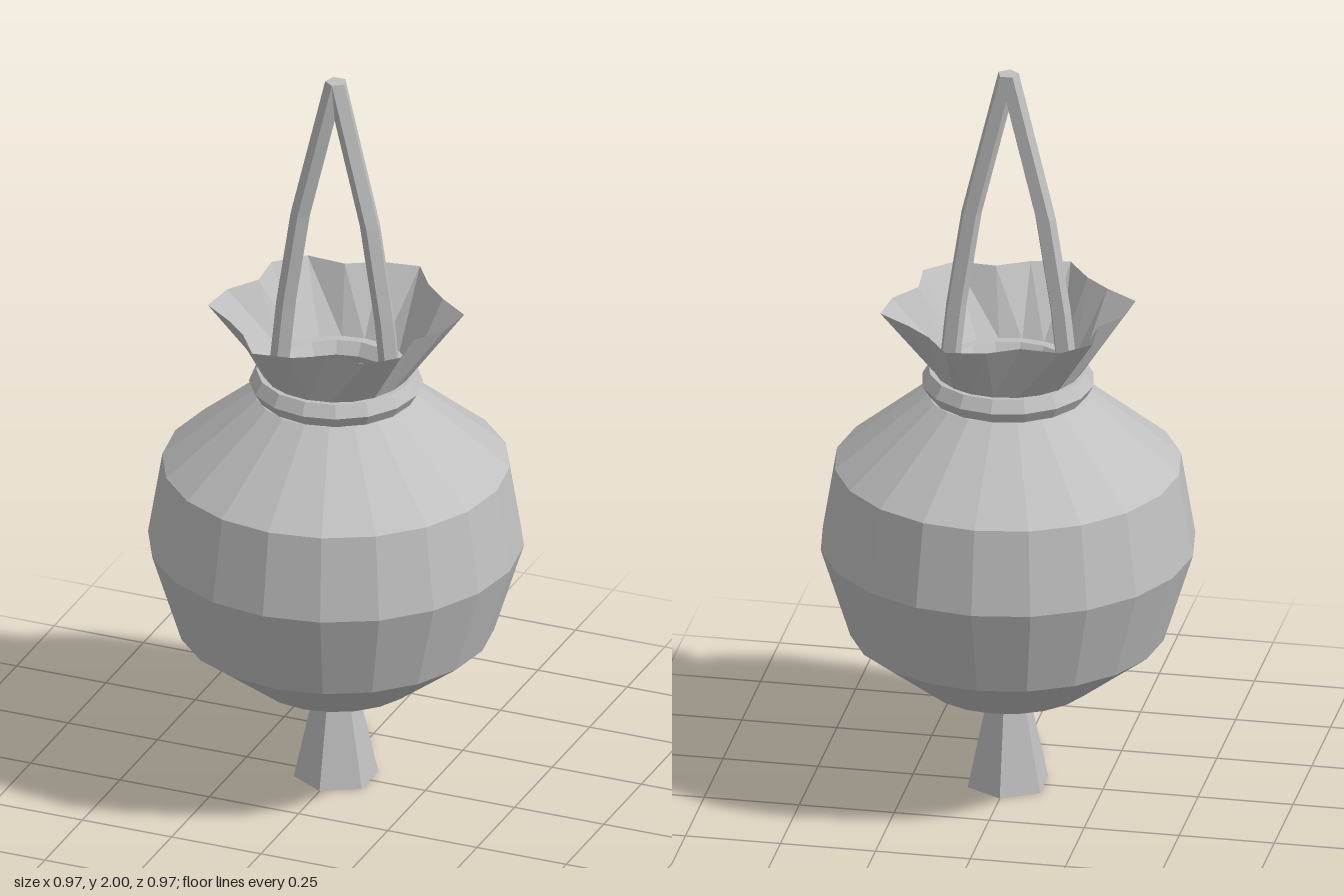
import * as THREE from 'three';

const cloth = new THREE.MeshStandardMaterial({ color: 0xc0c0c0, side: THREE.DoubleSide });
cloth.name = 'greyCloth';

// Faceted copy of a geometry
function faceted(geometry) {
  const g = geometry.index ? geometry.toNonIndexed() : geometry;
  g.computeVertexNormals();
  return g;
}

function part(name, geometry) {
  const mesh = new THREE.Mesh(geometry, cloth);
  mesh.name = name;
  return mesh;
}

const lathe = (points, sides) =>
  new THREE.LatheGeometry(points.map(([r, y]) => new THREE.Vector2(r, y)), sides);

// Skin over horizontal rings, each { x, y, r(j) }, ordered from bottom to top
function loft(rings, sides) {
  const positions = [], index = [];
  rings.forEach(({ x, y, r }, i) => {
    for (let j = 0; j < sides; j++) {
      const t = (j / sides) * Math.PI * 2;
      positions.push(x + r(j) * Math.sin(t), y, r(j) * Math.cos(t));
      if (i === rings.length - 1) continue;
      const a = i * sides + j, b = i * sides + (j + 1) % sides;
      index.push(a, b, b + sides, a, b + sides, a + sides);
    }
  });
  const g = new THREE.BufferGeometry();
  g.setAttribute('position', new THREE.Float32BufferAttribute(positions, 3));
  g.setIndex(index);
  return faceted(g);
}

export function createModel() {
  const group = new THREE.Group();
  group.name = 'drawstringPouch';

  // Round bag
  group.add(part('bag', faceted(lathe([
    [0, 0.25], [0.11, 0.268], [0.22, 0.288], [0.41, 0.435], [0.487, 0.68],
    [0.45, 0.905], [0.21, 1.105], [0.112, 1.115],
  ], 20))));

  // Smooth hollow in the mouth
  group.add(part('mouthHollow', lathe([
    [0, 1.06], [0.06, 1.064], [0.095, 1.08], [0.108, 1.1], [0.114, 1.115],
  ].reverse(), 32)));

  // Cord tied around the neck
  const cord = new THREE.TorusGeometry(0.187, 0.038, 6, 16);
  cord.rotateX(-Math.PI / 2);
  cord.translate(0, 1.136, 0);
  group.add(part('neckCord', faceted(cord)));

  // Ruffled collar, its folds repeating every half turn
  const folds = [0.305, 0.265, 0.322, 0.322, 0.267, 0.3, 0.332, 0.28, 0.283, 0.332];
  group.add(part('ruffledCollar', loft([
    { x: 0, y: 1.11, r: () => 0.175 },
    { x: 0, y: 1.165, r: () => 0.19 },
    { x: 0, y: 1.34, r: (j) => folds[(25 - j) % 10] },
  ], 20)));

  // Two strap halves meeting at the top
  for (const [name, s] of [['leftStrap', 1], ['rightStrap', -1]]) {
    const thick = () => 0.028;
    group.add(part(name, loft([
      { x: 0.162 * s, y: 1.1, r: thick },
      { x: 0.137 * s, y: 1.34, r: thick },
      { x: 0.097 * s, y: 1.6, r: thick },
      { x: 0, y: 2, r: thick },
      { x: 0, y: 2, r: () => 0 },
    ], 5)));
  }

  // Tassel below the bag
  const tassel = new THREE.CylinderGeometry(0.053, 0.11, 0.26, 6);
  tassel.translate(0, 0.13, 0);
  group.add(part('tassel', faceted(tassel)));

  return group;
}
